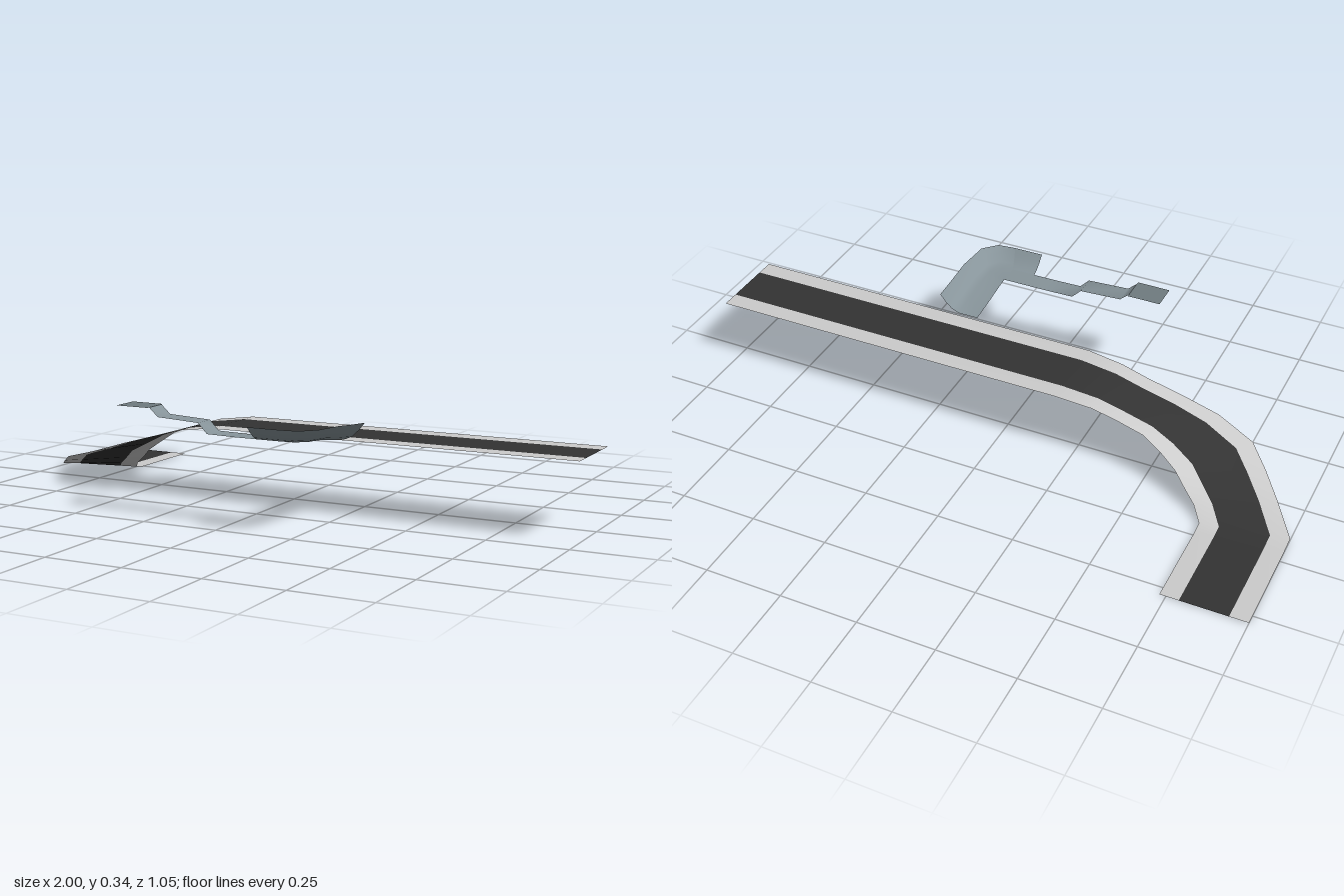
import * as THREE from 'three';

// Skin a sheet over cross-sections, each a row of [x, y, z] running from outer to inner edge
function loft(name, rows, color) {
  const n = rows[0].length, index = [];
  for (let i = 0; i < rows.length - 1; i++) {
    for (let j = 0; j < n - 1; j++) {
      const a = i * n + j, b = a + n;
      index.push(a, a + 1, b, b, a + 1, b + 1);
    }
  }
  const geo = new THREE.BufferGeometry();
  geo.setAttribute('position', new THREE.Float32BufferAttribute(rows.flat(2), 3));
  geo.setIndex(index);
  geo.computeVertexNormals();
  const mesh = new THREE.Mesh(geo, new THREE.MeshStandardMaterial({ color, side: THREE.DoubleSide }));
  mesh.name = name;
  return mesh;
}

export function createModel() {
  const group = new THREE.Group();
  group.name = 'track';

  // Main road: outer x, outer z, inner x, inner z, height
  const road = [
    [1, 0.18, 1, -0.09, 0.24],
    [-0.2, 0.18, -0.2, -0.09, 0.24],
    [-0.32, 0.175, -0.32, -0.08, 0.225],
    [-0.41, 0.172, -0.4, -0.073, 0.2],
    [-0.53, 0.176, -0.49, -0.067, 0.167],
    [-0.65, 0.178, -0.55, -0.077, 0.13],
    [-0.78, 0.135, -0.61, -0.1, 0.095],
    [-0.85, 0.06, -0.65, -0.125, 0.062],
    [-0.92, -0.03, -0.695, -0.155, 0.032],
    [-1, -0.15, -0.73, -0.2, 0.007],
    [-1, -0.22, -0.73, -0.24, 0.001],
    [-1, -0.53, -0.73, -0.53, 0],
  ];
  const band = (s, e) => road.map(([ox, oz, ix, iz, y]) =>
    [s, e].map(t => [ox + (ix - ox) * t, y, oz + (iz - oz) * t]));
  group.add(loft('outerShoulder', band(0, 0.22), 0xcccccc));
  group.add(loft('roadSurface', band(0.22, 0.78), 0x333333));
  group.add(loft('innerShoulder', band(0.78, 1), 0xcccccc));

  // Side ramp: flat floor and banked wall turning a corner
  // wall top x, z, y; wall foot x, z; floor inner edge x, z; floor height
  const ramp = [
    [0.335, 0.185, 0.3, 0.27, 0.185, 0.2, 0.185, 0.245],
    [0.335, 0.28, 0.308, 0.27, 0.28, 0.2, 0.28, 0.257],
    [0.335, 0.36, 0.316, 0.27, 0.35, 0.2, 0.35, 0.268],
    [0.323, 0.47, 0.32, 0.265, 0.42, 0.2, 0.39, 0.273],
    [0.28, 0.515, 0.32, 0.24, 0.455, 0.2, 0.39, 0.275],
    [0.22, 0.522, 0.32, 0.2, 0.46, 0.2, 0.39, 0.275],
  ];
  const wall = (tx, tz, ty, fx, fz, fy) => [0, 0.3, 0.65, 1].map(t =>
    [tx + (fx - tx) * t, fy + (ty - fy) * (1 - t) ** 1.6, tz + (fz - tz) * t]);
  group.add(loft('sideRamp', ramp.map(([tx, tz, ty, fx, fz, ix, iz, y]) =>
    [...wall(tx, tz, ty, fx, fz, y), [ix, y, iz]]), 0x87949a));
  group.add(loft('rampWallEnd', [[0.22, 0.2], [0.12, 0.12]].map(([tx, fx]) =>
    wall(tx, 0.522, 0.32, fx, 0.46, 0.275)), 0x87949a));

  // Narrow path stepping up to the end platform
  const path = [[0.2, 0.275], [0.05, 0.275], [-0.05, 0.277], [-0.08, 0.308], [-0.22, 0.315], [-0.25, 0.342]];
  group.add(loft('narrowPath', path.map(([x, y]) => [[x, y, 0.46], [x, y, 0.39]]), 0x87949a));
  group.add(loft('endPlatform', [-0.25, -0.36].map(x =>
    [[x, 0.342, 0.47], [x, 0.342, 0.38]]), 0x6f7b80));
  return group;
}
